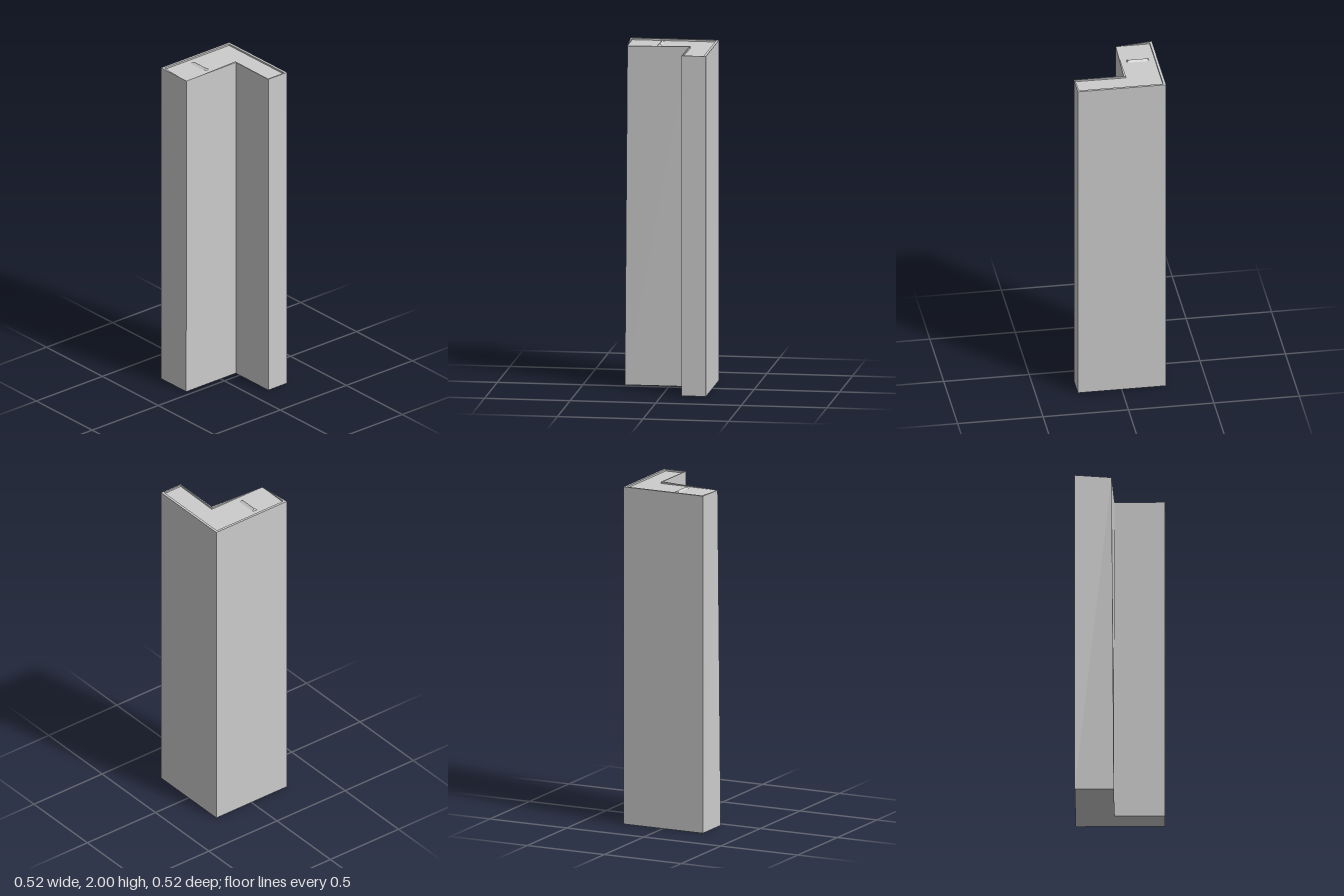
import * as THREE from 'three';

const TOP = 2, ROOF = 1.99;

// L-shaped loops as [x, z], counter-clockwise seen from above
const footprint = [[-0.26, -0.034], [0.115, -0.034], [0.115, 0.257], [0.257, 0.257], [0.257, -0.26], [-0.26, -0.26]];
const inset = [[-0.247, -0.047], [0.123, -0.046], [0.12, 0.249], [0.242, 0.248], [0.242, -0.245], [-0.247, -0.245]];

const loopAt = (loop, y) => loop.map(([x, z]) => new THREE.Vector3(x, y, z));

// Strip of quads joining two loops
function band(a, b) {
  const tris = [];
  a.forEach((p, i) => {
    const j = (i + 1) % a.length;
    tris.push(p, a[j], b[j], p, b[j], b[i]);
  });
  return tris;
}

// Flat fill of a loop, facing up or down
function cap(loop, up) {
  const faces = THREE.ShapeUtils.triangulateShape(loop.map((p) => new THREE.Vector2(p.x, -p.z)), []);
  return faces.flatMap(([i, j, k]) => (up ? [loop[i], loop[j], loop[k]] : [loop[i], loop[k], loop[j]]));
}

function part(name, triangles) {
  const geometry = new THREE.BufferGeometry().setFromPoints(triangles);
  geometry.computeVertexNormals();
  const mesh = new THREE.Mesh(geometry, new THREE.MeshStandardMaterial({ color: 0xcccccc, flatShading: true }));
  mesh.name = name;
  return mesh;
}

export function createModel() {
  const group = new THREE.Group();
  group.name = 'tower';

  const base = loopAt(footprint, 0);
  const outer = loopAt(footprint, TOP);
  const inner = loopAt(inset, TOP);
  const roof = loopAt(inset, ROOF);
  // The front corner of the wing leans in and meets the roof
  outer[0].copy(roof[0]);
  inner[0].copy(roof[0]);

  group.add(part('walls', [...band(base, outer), ...cap(base, false)]));
  group.add(part('parapet', [...band(outer, inner), ...band(inner, roof)]));
  group.add(part('roof', cap(roof, true)));

  // Hipped skylight on the wing
  const rect = (hx, z0, z1) => [[-0.065 - hx, z1], [-0.065 + hx, z1], [-0.065 + hx, z0], [-0.065 - hx, z0]];
  group.add(part('skylight', band(loopAt(rect(0.015, -0.21, -0.081), ROOF), loopAt(rect(0, -0.198, -0.093), TOP))));
  return group;
}
